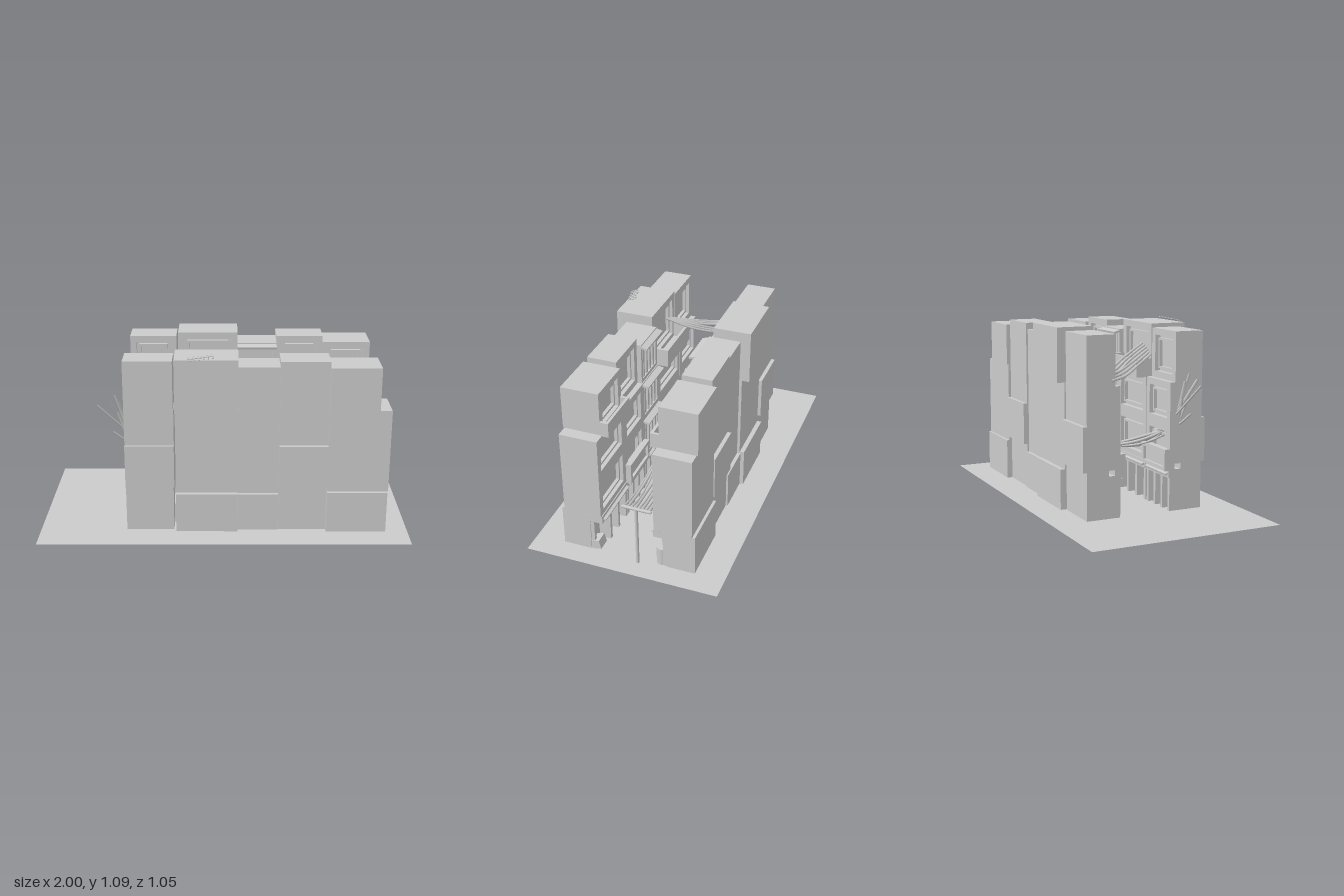
import * as THREE from 'three';

const mat = new THREE.MeshStandardMaterial({ color: 0xcccccc });
const GROUND = 0.09;

function add(parent, name, geometry, x = 0, y = 0, z = 0) {
  const mesh = new THREE.Mesh(geometry, mat);
  mesh.name = name;
  mesh.position.set(x, y, z);
  parent.add(mesh);
  return mesh;
}

// Box given by its limits; s mirrors it to the other side of the street
function box(parent, name, s, x0, x1, y0, y1, z0, z1) {
  return add(parent, name, new THREE.BoxGeometry(x1 - x0, y1 - y0, z1 - z0),
    (x0 + x1) / 2, (y0 + y1) / 2, s * (z0 + z1) / 2);
}

// Four bars around an opening
function frame(parent, name, s, x0, x1, y0, y1, z0, z1, w) {
  box(parent, name, s, x0, x1, y0, y0 + w, z0, z1);
  box(parent, name, s, x0, x1, y1 - w, y1, z0, z1);
  box(parent, name, s, x0, x0 + w, y0 + w, y1 - w, z0, z1);
  box(parent, name, s, x1 - w, x1, y0 + w, y1 - w, z0, z1);
}

// Recessed bay with an inner window frame and a pane
function windowBay(parent, s, x0, x1, y0, y1, z) {
  frame(parent, 'wallBorder', s, x0, x1, y0, y1, z, z + 0.03, 0.035);
  frame(parent, 'windowFrame', s, x0 + 0.05, x1 - 0.05, y0 + 0.05, y1 - 0.05, z + 0.012, z + 0.03, 0.012);
}

// Bay filled with upright pillars under a tilted awning
function pillarBay(parent, s, x0, x1, y0, y1, z) {
  frame(parent, 'wallBorder', s, x0, x1, y0, y1, z, z + 0.03, 0.02);
  for (let i = 1; i < 5; i++) {
    const x = x0 + (x1 - x0) * i / 5;
    box(parent, 'pillar', s, x - 0.009, x + 0.009, y0 + 0.02, y1 - 0.02, z + 0.004, z + 0.03);
  }
  awning(parent, s, x0, x1, y1 - 0.016, z - 0.012, 0.045);
}

function awning(parent, s, x0, x1, y, z, depth) {
  const a = add(parent, 'awning', new THREE.BoxGeometry(x1 - x0, 0.012, depth), (x0 + x1) / 2, y, s * z);
  a.rotation.x = -s * 0.25;
}

// The five houses: limits, roof, outer wall depth, street wall depth of the top floor
const houses = [
  { x0: -0.53, x1: -0.27, top: 1.045, out: 0.335, inn: 0.175, base: 0.335, baseTop: 0.345, bulge: true },
  { x0: -0.26, x1: 0.075, top: 1.065, out: 0.34, inn: 0.175, base: 0.365, baseTop: 0.31, balcony: [0.085, 0.875] },
  { x0: 0.075, x1: 0.295, top: 1.01, out: 0.325, inn: 0.15, base: 0.345, baseTop: 0.30, pillars: true },
  { x0: 0.295, x1: 0.555, top: 1.045, out: 0.335, inn: 0.175, base: 0.335, baseTop: 0.345, bulge: true },
  { x0: 0.555, x1: 0.82, top: 1.015, out: 0.35, inn: 0.155, base: 0.365, baseTop: 0.32, wide: 0.885, balcony: [0.11, 0.855] },
];

function house(parent, h, s) {
  const g = new THREE.Group();
  g.name = 'house';
  parent.add(g);
  const right = h.wide ?? h.x1 + 0.003, mid = 0.145;

  // Solid body and the outer volumes
  box(g, 'upperBody', s, h.x0, h.x1, 0.78, h.top, h.inn + 0.03, h.wide ? 0.358 : h.out);
  box(g, 'body', s, h.x0, right, h.baseTop, 0.78, mid + 0.03, h.out);
  box(g, 'base', s, h.x0, right - 0.005, GROUND, h.baseTop, 0.21, h.base);
  if (h.bulge) box(g, 'outerBay', s, h.x0, h.x1 + 0.003, 0.345, 0.582, 0.3, 0.356);
  if (h.top > 1.06) box(g, 'overhang', s, h.x0, h.x1, 0.775, h.top, 0.205, 0.38);

  // Street side floors
  const bay = h.pillars ? pillarBay : windowBay;
  bay(g, s, h.x0, h.x1, 0.78, h.top, h.inn);
  bay(g, s, h.x0, right, 0.55, 0.78, mid);
  bay(g, s, h.x0, right, 0.31, 0.55, mid);

  // Balcony: floor and parapet walls
  if (h.balcony) {
    const [z, y] = h.balcony;
    box(g, 'balconyFloor', s, h.x0, h.x1, 0.775, 0.79, z, 0.2);
    box(g, 'balconyFront', s, h.x0, h.x1, 0.79, y, z, z + 0.015);
    for (const x of [h.x0, h.x1 - 0.015]) box(g, 'balconySide', s, x, x + 0.015, 0.79, y, z + 0.015, 0.18);
  }

  // Ledge over the ground floor, shop front pillars and awning
  if (h.bulge) frame(g, 'shopLedge', s, h.x0, h.x1, 0.31, 0.425, 0.115, 0.15, 0.02);
  if (h.bulge) box(g, 'shopLedgePanel', s, h.x0 + 0.02, h.x1 - 0.02, 0.33, 0.405, 0.13, 0.15);
  box(g, 'shopLintel', s, h.x0, right - 0.005, 0.27, 0.315, 0.14, 0.22);
  for (let i = 0; i < 4; i++) {
    const x = h.x0 + (right - h.x0 - 0.03) * i / 3;
    box(g, 'shopPillar', s, x, x + 0.02, GROUND, 0.27, h.wide && i > 2 ? 0.19 : 0.145, 0.21);
  }
  awning(g, s, h.x0 + 0.01, right - 0.02, 0.295, 0.155, 0.06);
}

// Smooth cable through a few points
function cable(parent, points, radius) {
  const curve = new THREE.CatmullRomCurve3(points.map(p => new THREE.Vector3(...p)));
  add(parent, 'cable', new THREE.TubeGeometry(curve, 28, radius, 6));
}

// Post with pointed foot and a crossbar along z
function post(parent, x, z, y0, y1, barZ, barLength) {
  const g = new THREE.Group();
  g.name = 'cablePost';
  parent.add(g);
  add(g, 'postShaft', new THREE.CylinderGeometry(0.009, 0.009, y1 - y0 - 0.012, 10), x, (y0 + y1 + 0.012) / 2, z);
  add(g, 'postFoot', new THREE.ConeGeometry(0.009, 0.012, 10), x, y0 + 0.006, z).rotation.x = Math.PI;
  add(g, 'crossbar', new THREE.CapsuleGeometry(0.009, barLength - 0.018, 4, 8), x, y1, barZ).rotation.x = Math.PI / 2;
}

export function createModel() {
  const model = new THREE.Group();
  model.name = 'street';

  // Ground sheet
  const ground = add(model, 'ground', new THREE.PlaneGeometry(2, 1.05), 0, GROUND, 0);
  ground.rotation.x = -Math.PI / 2;
  ground.material = mat.clone();
  ground.material.side = THREE.DoubleSide;

  // Two facing rows of houses
  for (const s of [1, -1]) {
    const row = new THREE.Group();
    row.name = s > 0 ? 'frontRow' : 'backRow';
    model.add(row);
    houses.forEach(h => house(row, h, s));
  }

  // Posts and the long cable bundle along the street
  post(model, 0.08, 0.05, 0, 0.345, 0.04, 0.15);
  post(model, 0.9, -0.06, 0.08, 0.437, -0.062, 0.165);
  const ends = [[-0.68, 0.775, 0.24], [-0.61, 0.8, 0.26], [-0.585, 0.83, 0.225], [-0.57, 0.79, 0.21],
    [-0.6, 0.62, 0.23], [-0.56, 0.7, 0.2], [-0.55, 0.65, 0.22], [-0.57, 0.74, 0.24]];
  ends.forEach((end, i) => {
    const t = i / (ends.length - 1);
    cable(model, [
      end,
      [-0.5, end[1] * 0.3 + 0.35, 0.175 + 0.03 * t],
      [-0.3, 0.42 + 0.02 * (i % 3), 0.145 - 0.04 * t],
      [0.08, 0.35, 0.1 - 0.12 * t],
      [0.42, 0.325 + 0.012 * (i % 3), 0.06 - 0.12 * t],
      [0.7, 0.37 + 0.008 * (i % 2), 0.03 - 0.13 * t],
      [0.9, 0.437, 0.005 - 0.135 * t],
    ], 0.006 + 0.002 * (i % 2));
  });

  // Cables crossing high between the rows
  for (let i = 0; i < 6; i++) {
    const x = i * 0.035;
    cable(model, [
      [-0.54 + x, 0.81 + 0.008 * (i % 3), -0.2],
      [-0.47 + x, 0.82 + 0.008 * (i % 3), -0.09],
      [-0.36 + x * 0.9, 0.855 + 0.006 * i, 0.04],
      [-0.25 + x * 0.6, 0.9 + 0.01 * i, 0.18],
    ], 0.007);
  }

  // Roof aerial: a tilted rod with short cross rods
  const aerial = new THREE.Group();
  aerial.name = 'roofAerial';
  aerial.position.set(-0.12, 1.075, 0.365);
  aerial.rotation.set(0.25, 0.25, 0);
  model.add(aerial);
  add(aerial, 'aerialRod', new THREE.CylinderGeometry(0.003, 0.003, 0.14, 6)).rotation.z = Math.PI / 2;
  for (let i = 0; i < 6; i++)
    add(aerial, 'aerialTooth', new THREE.CylinderGeometry(0.003, 0.003, 0.045, 6), -0.06 + i * 0.024, 0, 0).rotation.x = Math.PI / 2;

  // Bin and crate by the end houses
  add(model, 'bin', new THREE.CylinderGeometry(0.032, 0.032, 0.1, 14), 0.845, 0.14, -0.178);
  add(model, 'crate', new THREE.BoxGeometry(0.07, 0.05, 0.04), 0.845, 0.12, 0.18).rotation.x = 0.25;
  return model;
}
